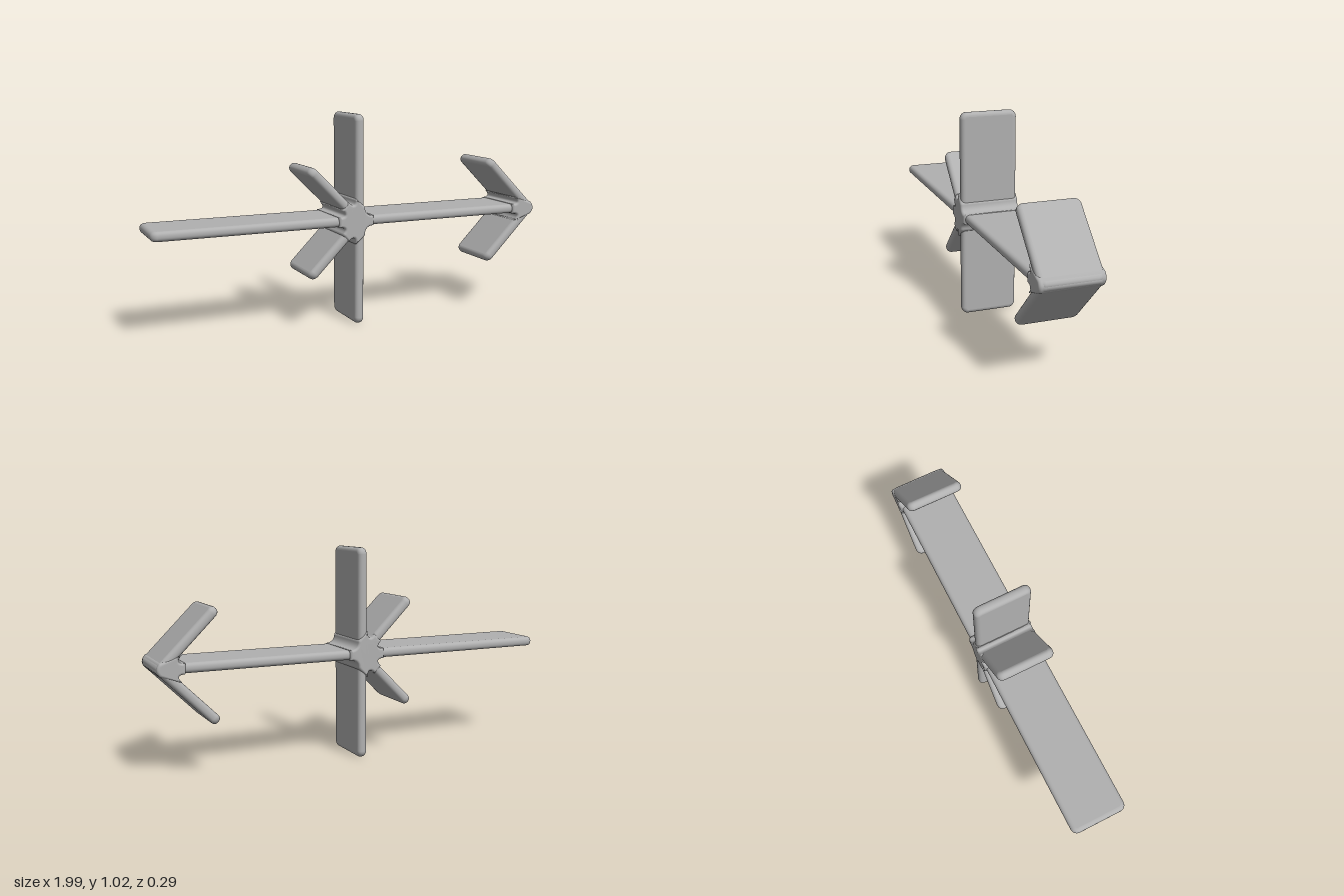
import * as THREE from 'three';
import { mergeVertices } from 'three/addons/utils/BufferGeometryUtils.js';

const CENTER_Y = 0.508;
const HALF = 0.023; // half the blade thickness

const grey = new THREE.MeshStandardMaterial({ color: 0xb0b0b0 });
grey.name = 'grey';

// Extrude centred on its depth, with rounded edges inside the outline and smooth normals
function softExtrude(shape, depth, bevel) {
  const raw = new THREE.ExtrudeGeometry(shape, {
    depth: depth - 2 * bevel, bevelThickness: bevel, bevelSize: bevel,
    bevelOffset: -bevel, bevelSegments: 5, curveSegments: 8,
  });
  raw.translate(0, 0, bevel - depth / 2);
  raw.deleteAttribute('uv');
  raw.deleteAttribute('normal');
  const geometry = mergeVertices(raw, 1e-5);
  geometry.computeVertexNormals();
  return geometry;
}

// Flat blade with rounded corners, running from distance a to b along an angle
function blade(name, x, angle, a, b, halfWidth) {
  const r = 0.032, w = halfWidth;
  const s = new THREE.Shape();
  s.moveTo(a + r, -w);
  s.lineTo(b - r, -w);
  s.absarc(b - r, -w + r, r, -Math.PI / 2, 0, false);
  s.lineTo(b, w - r);
  s.absarc(b - r, w - r, r, 0, Math.PI / 2, false);
  s.lineTo(a + r, w);
  s.absarc(a + r, w - r, r, Math.PI / 2, Math.PI, false);
  s.lineTo(a, -w + r);
  s.absarc(a + r, -w + r, r, Math.PI, Math.PI * 1.5, false);
  const geometry = softExtrude(s, HALF * 2, 0.02);
  geometry.rotateX(-Math.PI / 2);
  const mesh = new THREE.Mesh(geometry, grey);
  mesh.name = name;
  mesh.rotation.z = THREE.MathUtils.degToRad(angle);
  mesh.position.set(x, CENTER_Y, 0);
  return mesh;
}

// Filleted joint where blades at the given angles meet
function joint(name, x, angles, depth) {
  const h = HALF + 0.001;
  const s = new THREE.Shape();
  const edgePoint = (deg, reach, side) => {
    const t = THREE.MathUtils.degToRad(deg), c = Math.cos(t), n = Math.sin(t);
    return [c * reach - n * h * side, n * reach + c * h * side];
  };
  angles.forEach((a, i) => {
    const next = i + 1 < angles.length ? angles[i + 1] : angles[0] + 360;
    const gap = next - a;
    const reach = gap < 60 ? 0.11 : gap < 180 ? 0.07 : 0.02;
    const mid = THREE.MathUtils.degToRad(a + gap / 2);
    const d = h / Math.sin(THREE.MathUtils.degToRad(gap / 2));
    const start = edgePoint(a, reach, 1), end = edgePoint(next, reach, -1);
    if (i === 0) s.moveTo(...start); else s.lineTo(...start);
    s.quadraticCurveTo(Math.cos(mid) * d, Math.sin(mid) * d, ...end);
  });
  s.closePath();
  const mesh = new THREE.Mesh(softExtrude(s, depth, 0.012), grey);
  mesh.name = name;
  mesh.position.set(x, CENTER_Y, 0);
  return mesh;
}

export function createModel() {
  const model = new THREE.Group();
  model.name = 'crossedArrow';
  const tipX = 0.972;

  // Long horizontal shaft and upright cross blade
  model.add(blade('shaft', 0, 0, -1, tipX, 0.138));
  model.add(blade('uprightBlade', -0.003, 90, -0.508, 0.508, 0.14));

  // Mirrored diagonal fins at the centre and barbs at the arrow tip
  for (const [side, angle] of [['upper', 135], ['lower', 225]]) {
    model.add(blade(side + 'Fin', 0, angle, -0.01, 0.364, 0.144));
    model.add(blade(side + 'Barb', tipX, angle, -0.018, 0.364, 0.144));
  }

  // Filleted joints
  model.add(joint('centreJoint', -0.003, [0, 90, 135, 180, 225, 270], 0.294));
  model.add(joint('tipJoint', tipX, [135, 180, 225], 0.294));
  return model;
}
